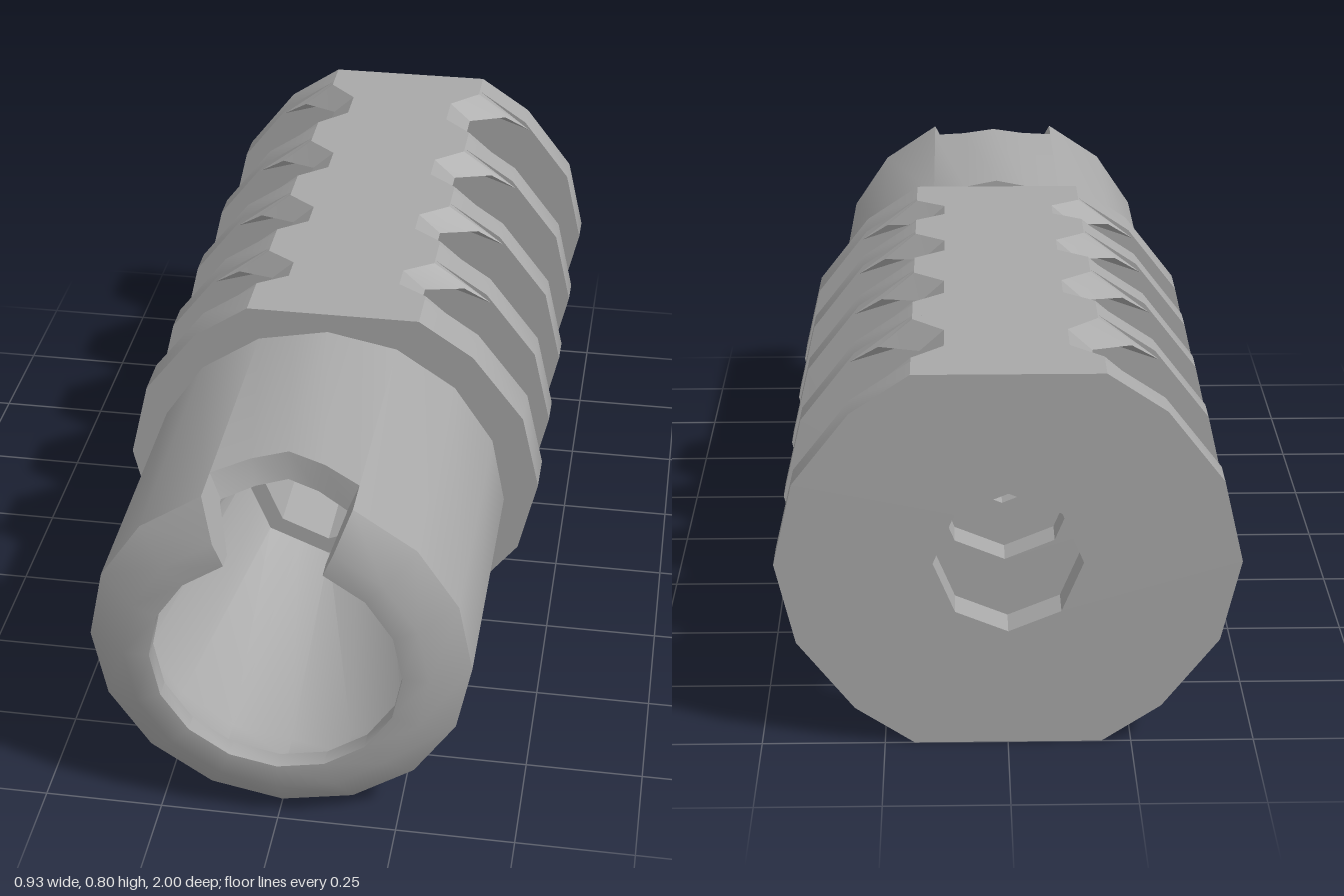
import * as THREE from 'three';
import { mergeGeometries, toCreasedNormals } from 'three/addons/utils/BufferGeometryUtils.js';

const AXIS_Y = 0.4;
const steel = new THREE.MeshStandardMaterial({ color: 0xa8a8a8, side: THREE.DoubleSide });
steel.name = 'grey steel';

function addMesh(parent, geometry, name) {
  const mesh = new THREE.Mesh(geometry, steel);
  mesh.name = name;
  parent.add(mesh);
  return mesh;
}

// Lathe a [radius, z] profile round the z axis; narrow rings become octagons, wide ones 16-gons
function turned(profile, segments, start, length) {
  const geo = new THREE.LatheGeometry(profile.map(([r, z]) => new THREE.Vector2(r, z)), segments, start, length);
  const pos = geo.attributes.position;
  for (let i = 0; i < pos.count; i++) {
    const x = pos.getX(i), z = pos.getZ(i);
    const step = (Math.PI * 2) / (Math.hypot(x, z) < 0.2 ? 8 : 16);
    const angle = Math.atan2(x, z);
    const offset = angle - Math.round(angle / step) * step;
    const k = Math.cos(step / 2) / Math.cos(step / 2 - Math.abs(offset));
    pos.setX(i, x * k);
    pos.setZ(i, z * k);
  }
  return geo.rotateX(Math.PI / 2);
}

// Hollow collar with neck, undercut bore and a notch cut in the top of its front rim
function collarGeometry() {
  const back = [[0.15, 0.265], [0.3, 0.265], [0.3, 0.33], [0.395, 0.33]];
  const lip = [[0.395, 0.945], [0.315, 1], [0.26, 1], [0.26, 0.96], [0.335, 0.88]];
  const bore = [[0.19, 0.33], [0.15, 0.33], [0.15, 0.265]];
  const eighth = Math.PI / 8;
  const main = turned([...back, ...lip, [0.335, 0.82], ...bore], 14, Math.PI + eighth, Math.PI * 1.75);

  // Shortened sector behind the notch, its front edge arched
  const sector = turned([...back, [0.395, 0.86], [0.335, 0.87], ...bore], 4, Math.PI - eighth, eighth * 2);
  const pos = sector.attributes.position;
  const perRing = back.length + 2 + bore.length;
  const arch = [0, 0.04, 0.055, 0.04, 0];
  for (let i = 0; i < pos.count; i++) {
    if (pos.getZ(i) > 0.8) pos.setZ(i, pos.getZ(i) - arch[Math.floor(i / perRing)]);
  }
  return toCreasedNormals(mergeGeometries([main, sector]), 0.75);
}

// Flat side wall of the notch
function notchWallGeometry() {
  const section = [[0.395, 0.86], [0.395, 0.945], [0.315, 1], [0.26, 1], [0.26, 0.96], [0.335, 0.88], [0.335, 0.86]];
  const shape = new THREE.Shape(section.map(([r, z]) => new THREE.Vector2(r, z)));
  return new THREE.ShapeGeometry(shape).rotateX(Math.PI / 2);
}

// Baffle plate: flat top and bottom, round sides, octagonal hole
function baffleGeometry(z0, z1) {
  const quarter = [[0.19, 0.4], [0.31, 0.32], [0.425, 0.172]];
  const right = [...quarter, [0.465, 0], ...quarter.map(([x, y]) => [x, -y]).reverse()];
  const outline = [...right, ...right.map(([x, y]) => [-x, -y])];
  const shape = new THREE.Shape(outline.map(([x, y]) => new THREE.Vector2(x, y)));
  const hole = [];
  for (let i = 0; i < 8; i++) {
    const a = (i * Math.PI) / 4;
    hole.push(new THREE.Vector2(0.15 * Math.cos(a), 0.15 * Math.sin(a)));
  }
  shape.holes.push(new THREE.Path(hole));
  const geo = new THREE.ExtrudeGeometry(shape, { depth: z1 - z0, bevelEnabled: false });
  return toCreasedNormals(geo.translate(0, 0, z0), 0.5);
}

// Thin bridge between two baffles, waisted in the middle and flared at both ends
function bridgeGeometry(z0, z1) {
  const flare = [[0.19, 0.32, 0.3], [0.19, 0.26, 0.34], [0.125, 0.175, 0.355]];
  const stations = [[-1, 0], [-0.85, 1], [-0.35, 2], [0.35, 2], [0.85, 1], [1, 0]];
  const points = [], index = [];
  stations.forEach(([t, f], s) => {
    const z = (z0 + z1) / 2 + (t * (z1 - z0)) / 2;
    const [a, b, y] = flare[f];
    const half = [[a, 0.4], [b, y], [0.165, 0.355]];
    for (const [x, py] of half) points.push(x, py, z);
    for (const [x, py] of half.reverse()) points.push(-x, py, z);
    if (s === 0) return;
    for (let i = 0; i < 6; i++) {
      const p = (s - 1) * 6 + i, q = (s - 1) * 6 + ((i + 1) % 6);
      index.push(p, p + 6, q, q, p + 6, q + 6);
    }
  });
  const geo = new THREE.BufferGeometry();
  geo.setAttribute('position', new THREE.Float32BufferAttribute(points, 3));
  geo.setIndex(index);
  return toCreasedNormals(geo, 0.4);
}

export function createModel() {
  const model = new THREE.Group();
  model.name = 'ventedBarrelEnd';
  const body = new THREE.Group();
  body.name = 'body';
  body.position.y = AXIS_Y;
  model.add(body);

  addMesh(body, collarGeometry(), 'collar');
  for (const side of [-1, 1]) {
    const wall = addMesh(body, notchWallGeometry(), 'notchWall');
    wall.rotation.z = Math.PI / 2 + (side * Math.PI) / 8;
  }

  // Baffles from front to back, joined by a bridge above and below
  const baffles = [[0.165, 0.265], [-0.09, -0.015], [-0.365, -0.295], [-0.66, -0.59], [-1, -0.925]];
  baffles.forEach(([z0, z1], i) => {
    addMesh(body, baffleGeometry(z0, z1), 'baffle');
    if (i === 0) return;
    const bridge = bridgeGeometry(z1, baffles[i - 1][0]);
    addMesh(body, bridge, 'topBridge');
    addMesh(body, bridge, 'bottomBridge').rotation.z = Math.PI;
  });
  return model;
}
